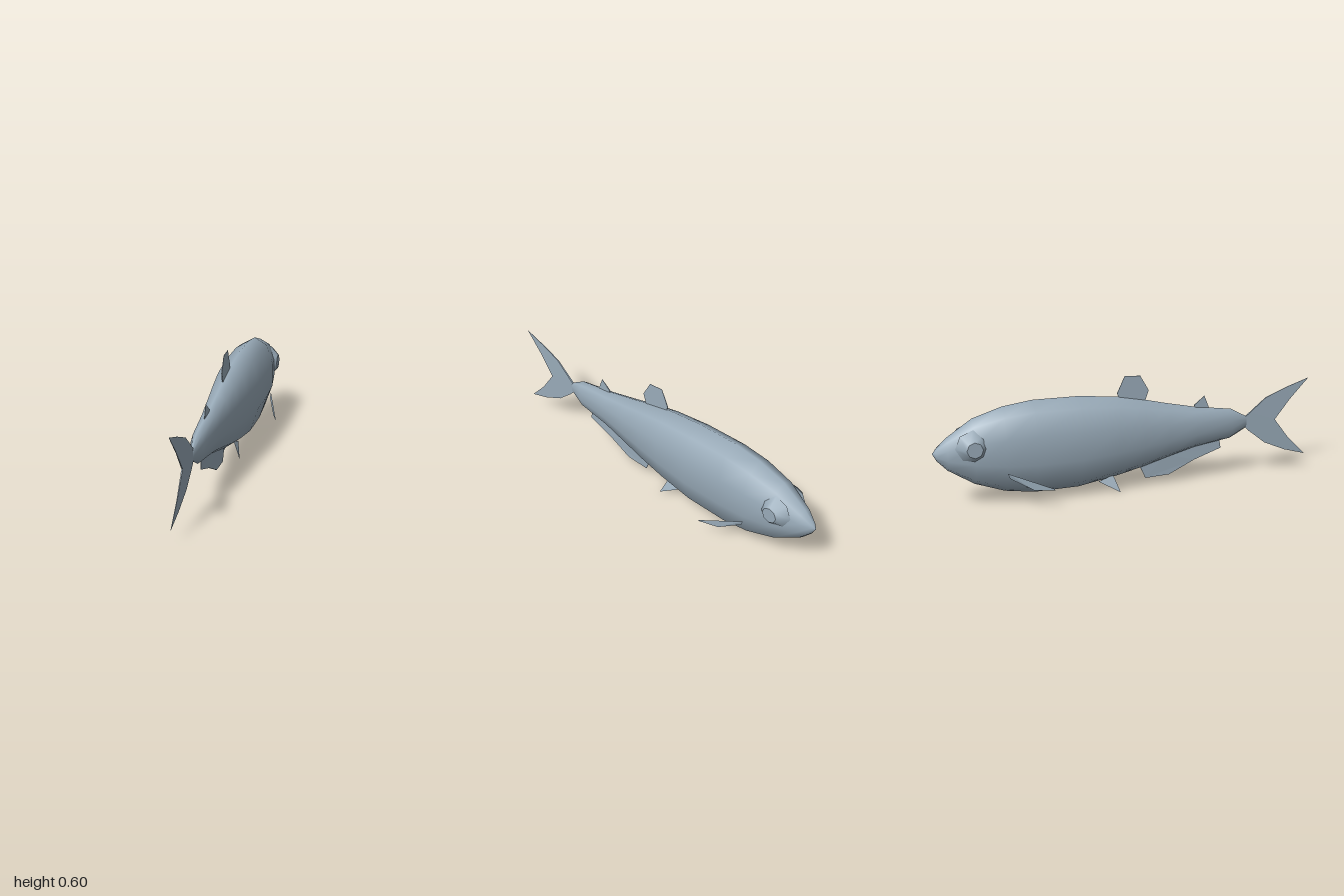
import * as THREE from 'three';

const skin = new THREE.MeshStandardMaterial({ color: 0x9aacba, side: THREE.DoubleSide });
skin.name = 'blueGreySkin';

function add(group, name, geometry) {
  const mesh = new THREE.Mesh(geometry, skin);
  mesh.name = name;
  group.add(mesh);
  return mesh;
}

// Ten-sided section as [side, height] fractions, from back ridge round to belly
const half = [[0, 1], [0.66, 0.91], [1, 0.67], [1, 0.37], [0.6, 0.1], [0, 0]];
const section = [...half, ...half.slice(1, 5).reverse().map(([x, y]) => [-x, y])];

// Body stations from tail to snout: z, top, bottom, half width
const stations = [
  [0.655, 0.295, 0.295, 0], [0.65, 0.325, 0.265, 0.006], [0.56, 0.375, 0.215, 0.032],
  [0.36, 0.405, 0.185, 0.05], [0.2, 0.44, 0.142, 0.068], [0.07, 0.472, 0.105, 0.082],
  [-0.07, 0.5, 0.073, 0.096], [-0.27, 0.52, 0.038, 0.107], [-0.5, 0.522, 0.036, 0.109],
  [-0.65, 0.502, 0.06, 0.105], [-0.8, 0.455, 0.115, 0.086], [-0.93, 0.368, 0.2, 0.05],
  [-0.98, 0.32, 0.255, 0.022], [-1, 0.292, 0.292, 0],
];

function bodyGeometry() {
  const points = [], faces = [], n = section.length;
  stations.forEach(([z, top, bottom, w], i) => {
    section.forEach(([sx, sy], j) => {
      points.push(sx * w, bottom + (top - bottom) * sy, z);
      if (i === stations.length - 1) return;
      const a = i * n + j, b = i * n + (j + 1) % n;
      faces.push(a, b, a + n, b, b + n, a + n);
    });
  });
  const g = new THREE.BufferGeometry();
  g.setAttribute('position', new THREE.Float32BufferAttribute(points, 3));
  g.setIndex(faces);
  g.computeVertexNormals();
  return g;
}

// Upright fin on the centre line, outlined by [z, y]; thickness fades away from the root
function medianFin(outline, root, reach) {
  const shape = new THREE.Shape(outline.map(([z, y]) => new THREE.Vector2(z, y)));
  const g = new THREE.ExtrudeGeometry(shape, { depth: 0.01, bevelEnabled: false });
  g.translate(0, 0, -0.005).rotateY(-Math.PI / 2);
  const p = g.attributes.position;
  for (let i = 0; i < p.count; i++) {
    const d = Math.hypot(p.getZ(i) - root[0], p.getY(i) - root[1]);
    p.setX(i, p.getX(i) * Math.max(0.15, 1 - d / reach));
  }
  g.computeVertexNormals();
  return g;
}

// Thin flat fin from a fan of 3D points, mirrored by side
function sideFin(points, side) {
  const v = [];
  for (let i = 1; i < points.length - 1; i++) {
    const tri = side > 0 ? [0, i, i + 1] : [0, i + 1, i];
    tri.forEach((k) => v.push(points[k][0] * side, points[k][1], points[k][2]));
  }
  const g = new THREE.BufferGeometry();
  g.setAttribute('position', new THREE.Float32BufferAttribute(v, 3));
  g.computeVertexNormals();
  return g;
}

export function createModel() {
  const fish = new THREE.Group();
  fish.name = 'fish';
  add(fish, 'body', bodyGeometry());

  // Fins along the centre line
  add(fish, 'tailFin', medianFin([
    [0.61, 0.295], [0.67, 0.345], [0.76, 0.42], [0.88, 0.468], [1, 0.507], [0.9, 0.4],
    [0.815, 0.292], [0.9, 0.18], [1, 0.08], [0.88, 0.115], [0.76, 0.168], [0.67, 0.24],
  ], [0.65, 0.295], 0.4));
  add(fish, 'dorsalFin', medianFin([
    [0.085, 0.46], [0.105, 0.518], [0.06, 0.597], [-0.022, 0.602], [-0.062, 0.515], [-0.05, 0.48],
  ], [0.02, 0.47], 0.16));
  add(fish, 'adiposeFin', medianFin([
    [0.44, 0.385], [0.41, 0.46], [0.355, 0.415], [0.36, 0.39],
  ], [0.38, 0.39], 0.09));
  add(fish, 'analFin', medianFin([
    [0.5, 0.21], [0.508, 0.165], [0.36, 0.115], [0.22, 0.048], [0.09, 0.042], [0.055, 0.12],
    [0.2, 0.16],
  ], [0.25, 0.16], 0.35));

  // Paired parts
  for (const [side, label] of [[1, 'left'], [-1, 'right']]) {
    add(fish, label + 'PectoralFin', sideFin([
      [0.098, 0.186, -0.65], [0.169, 0.108, -0.435], [0.169, 0.1, -0.43],
      [0.136, 0.1, -0.53], [0.095, 0.158, -0.64],
    ], side));
    add(fish, label + 'PelvicFin', sideFin([
      [0.055, 0, -0.06], [0.022, 0.06, -0.17], [0.016, 0.085, -0.09],
    ], side));
    // Bevelled disc set into the side of the head
    const eye = add(fish, label + 'Eye', new THREE.CylinderGeometry(0.04, 0.09, 0.046, 8));
    eye.rotation.z = -side * Math.PI / 2;
    eye.position.set(side * 0.083, 0.325, -0.805);
  }
  return fish;
}
